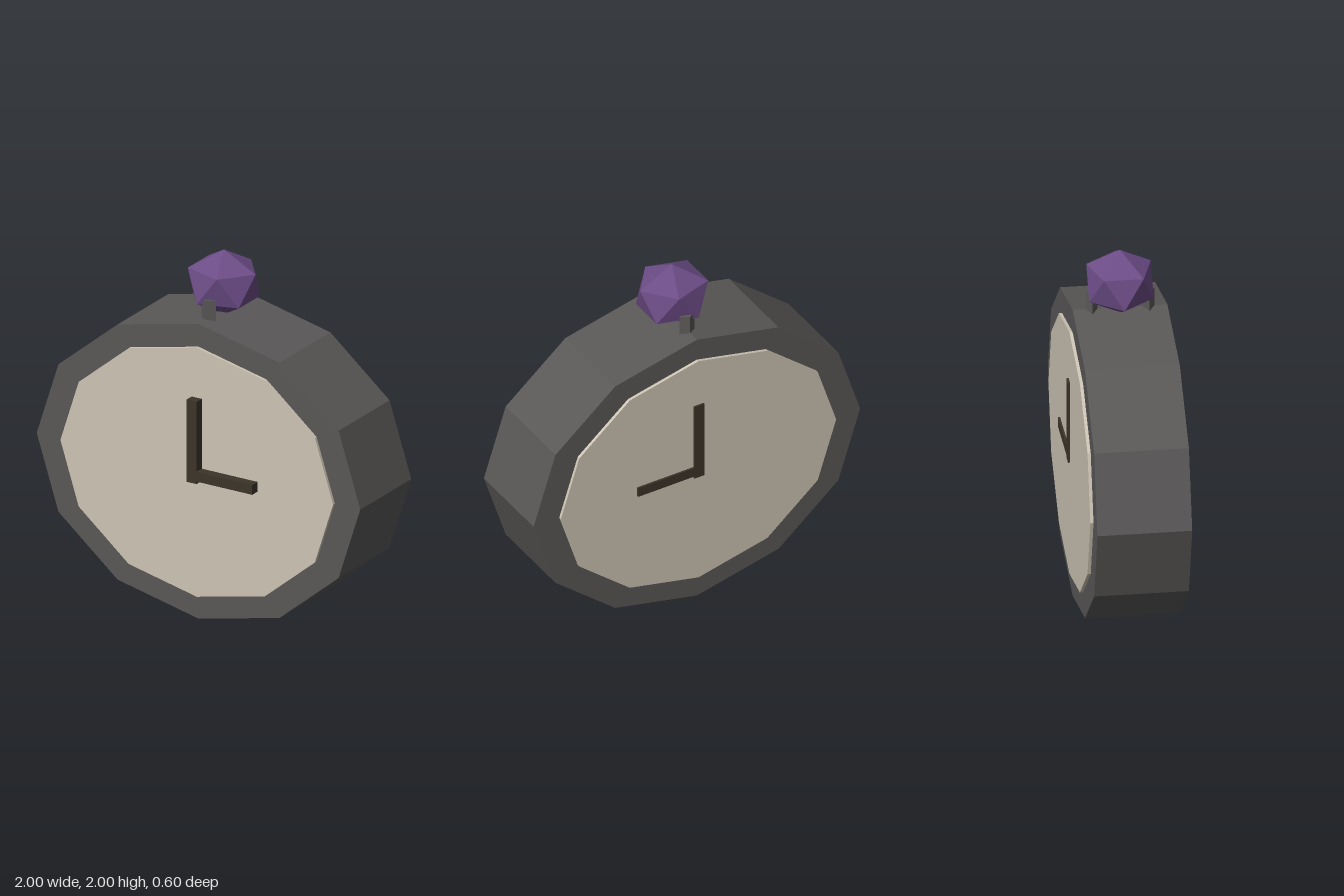
import * as THREE from 'three';

export function createModel() {
  const model = new THREE.Group();
  model.name = 'pocketWatch';

  const material = (name, color) => {
    const m = new THREE.MeshStandardMaterial({ color, flatShading: true });
    m.name = name;
    return m;
  };
  const caseGrey = material('caseGrey', 0x5a5857);
  const dialCream = material('dialCream', 0xcdc4b4);
  const handBrown = material('handBrown', 0x3c342a);
  const gemPurple = material('gemPurple', 0x6c4c86);

  const add = (name, geometry, mat) => {
    const mesh = new THREE.Mesh(geometry, mat);
    mesh.name = name;
    model.add(mesh);
    return mesh;
  };

  // Twelve-sided oval disc spanning z0..z1
  const CENTRE_Y = 0.834;
  const disc = (rx, ry, z0, z1) =>
    new THREE.CylinderGeometry(1, 1, z1 - z0, 12)
      .rotateX(Math.PI / 2)
      .scale(rx, ry, 1)
      .translate(0, CENTRE_Y, (z0 + z1) / 2);

  // Box given by its limits
  const box = (x0, x1, y0, y1, z0, z1) =>
    new THREE.BoxGeometry(x1 - x0, y1 - y0, z1 - z0)
      .translate((x0 + x1) / 2, (y0 + y1) / 2, (z0 + z1) / 2);

  // Case, with a dial raised slightly on each side
  add('case', disc(1, 0.832, -0.27, 0.23), caseGrey);
  add('frontDial', disc(0.843, 0.703, 0.2, 0.247), dialCream);
  add('backDial', disc(0.843, 0.703, -0.287, -0.24), dialCream);

  // Hands on both dials
  for (const [side, z0, z1] of [['front', 0.22, 0.3], ['back', -0.298, -0.26]]) {
    add(side + 'LongHand', box(-0.031, 0.031, 0.792, 1.255, z0, z1), handBrown);
    add(side + 'ShortHand', box(0.031, 0.376, 0.806, 0.861, z0, z1), handBrown);
  }

  // Diamond-section prongs before and behind the gem
  for (const [name, z] of [['frontProng', 0.13], ['backProng', -0.17]]) {
    const prong = new THREE.CylinderGeometry(1, 1, 0.17, 4).scale(0.046, 1, 0.031);
    add(name, prong.translate(0, 1.685, z), caseGrey);
  }

  // Crown gem: icosahedron standing on a point
  const corners = [0, 1, 0];
  for (let i = 0; i < 10; i++) {
    const a = (i * Math.PI) / 5;
    corners.push(0.894 * Math.cos(a), i % 2 ? -0.447 : 0.447, 0.894 * Math.sin(a));
  }
  corners.push(0, -1, 0);
  const faces = [];
  for (let i = 0; i < 10; i += 2) {
    const up = 1 + i, low = 2 + i;
    const nextUp = 1 + ((i + 2) % 10), nextLow = 1 + ((i + 3) % 10);
    faces.push(0, nextUp, up, up, nextUp, low, low, nextUp, nextLow, 11, low, nextLow);
  }
  const gem = new THREE.PolyhedronGeometry(corners, faces, 1, 0);
  add('crownGem', gem.scale(0.218, 0.182, 0.2).translate(0, 1.818, -0.02), gemPurple);

  return model;
}
